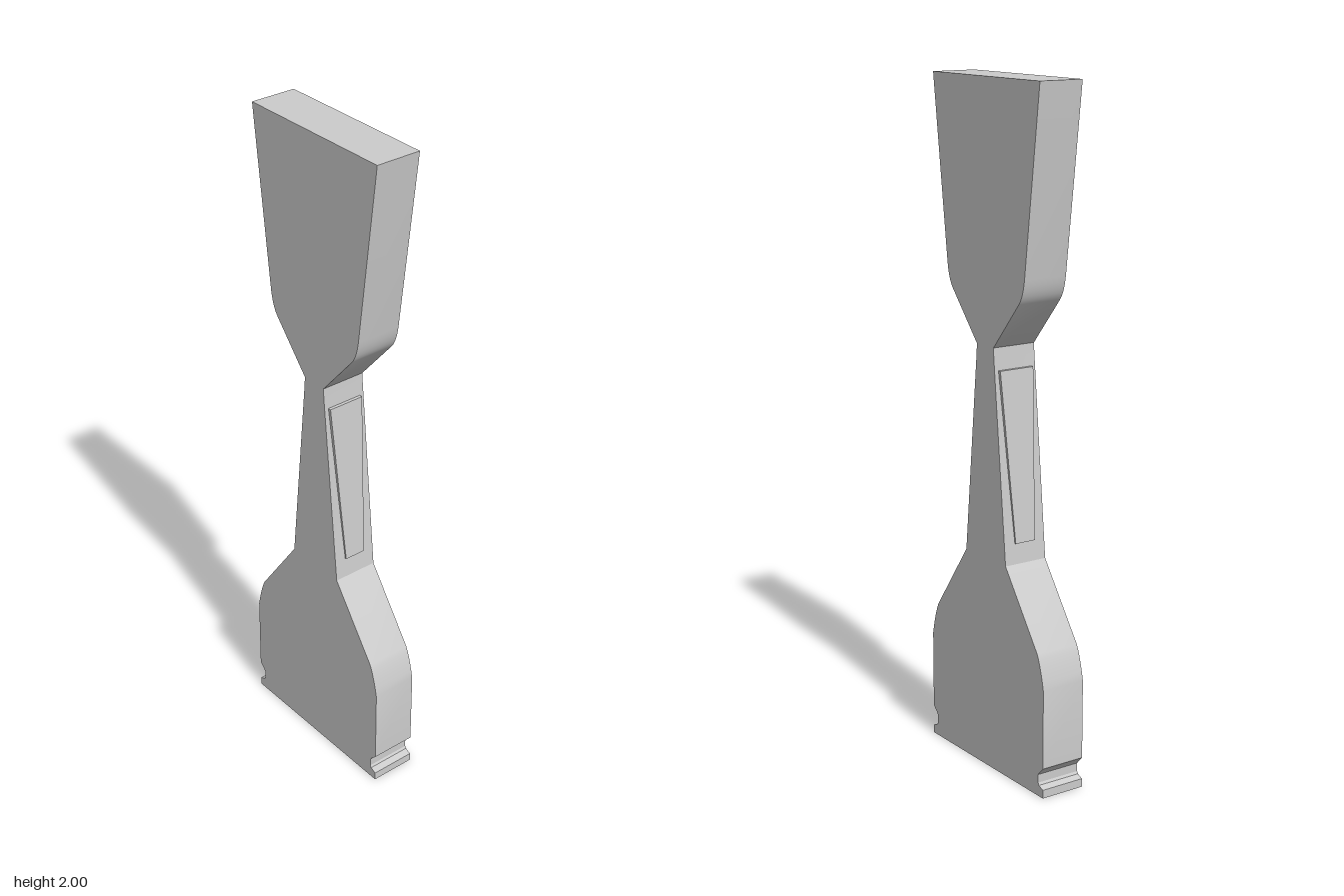
import * as THREE from 'three';
import { toCreasedNormals } from 'three/addons/utils/BufferGeometryUtils.js';

const DEPTH = 0.138;

// Half outline from the foot to the top, mirrored to close the shape
function outline() {
  const half = [[0.285, 0], [0.285, 0.025], [0.266, 0.033], [0.262, 0.04], [0.262, 0.065], [0.268, 0.073], [0.285, 0.09]];
  const arc = (a, b, c) => new THREE.QuadraticBezierCurve(
    new THREE.Vector2(...a), new THREE.Vector2(...b), new THREE.Vector2(...c)
  ).getPoints(5).forEach(p => half.push([p.x, p.y]));
  arc([0.285, 0.325], [0.272, 0.39], [0.255, 0.425]); // lower shoulder
  half.push([0.1, 0.64], [0.043, 1.23], [0.041, 1.26]);
  arc([0.163, 1.4], [0.182, 1.422], [0.189, 1.47]); // upper shoulder
  half.push([0.256, 2]);
  const left = half.map(([x, y]) => [-x, y]).reverse();
  return new THREE.Shape([...half, ...left].map(p => new THREE.Vector2(...p)));
}

// Wedge raised on the neck side: nearly flush at the foot, a small step at the top
function wedgeGeometry() {
  const section = (y, inner, outer, z) => [[inner, y, z], [outer, y, z], [outer, y, -z], [inner, y, -z]];
  const low = section(0.7, 0.075, 0.099, 0.033);
  const high = section(1.195, 0.03, 0.056, 0.056);
  const index = [0, 2, 1, 0, 3, 2, 4, 5, 6, 4, 6, 7];
  for (let i = 0; i < 4; i++) {
    const j = (i + 1) % 4;
    index.push(i, j, i + 4, j, j + 4, i + 4);
  }
  const g = new THREE.BufferGeometry();
  g.setAttribute('position', new THREE.Float32BufferAttribute([...low, ...high].flat(), 3));
  g.setIndex(index);
  const flat = g.toNonIndexed();
  flat.computeVertexNormals();
  return flat;
}

export function createModel() {
  const group = new THREE.Group();
  const material = new THREE.MeshStandardMaterial({ color: 0xcccccc });

  // Flat body
  const bodyGeo = new THREE.ExtrudeGeometry(outline(), { depth: DEPTH, bevelEnabled: false });
  bodyGeo.translate(0, 0, -DEPTH / 2);
  const body = new THREE.Mesh(toCreasedNormals(bodyGeo, 0.35), material);
  body.name = 'body';
  group.add(body);

  // Raised wedges on both sides of the neck
  for (const side of [1, -1]) {
    const wedge = new THREE.Mesh(wedgeGeometry(), material);
    wedge.name = side > 0 ? 'leftNeckWedge' : 'rightNeckWedge';
    wedge.rotation.y = side > 0 ? 0 : Math.PI;
    group.add(wedge);
  }
  return group;
}
